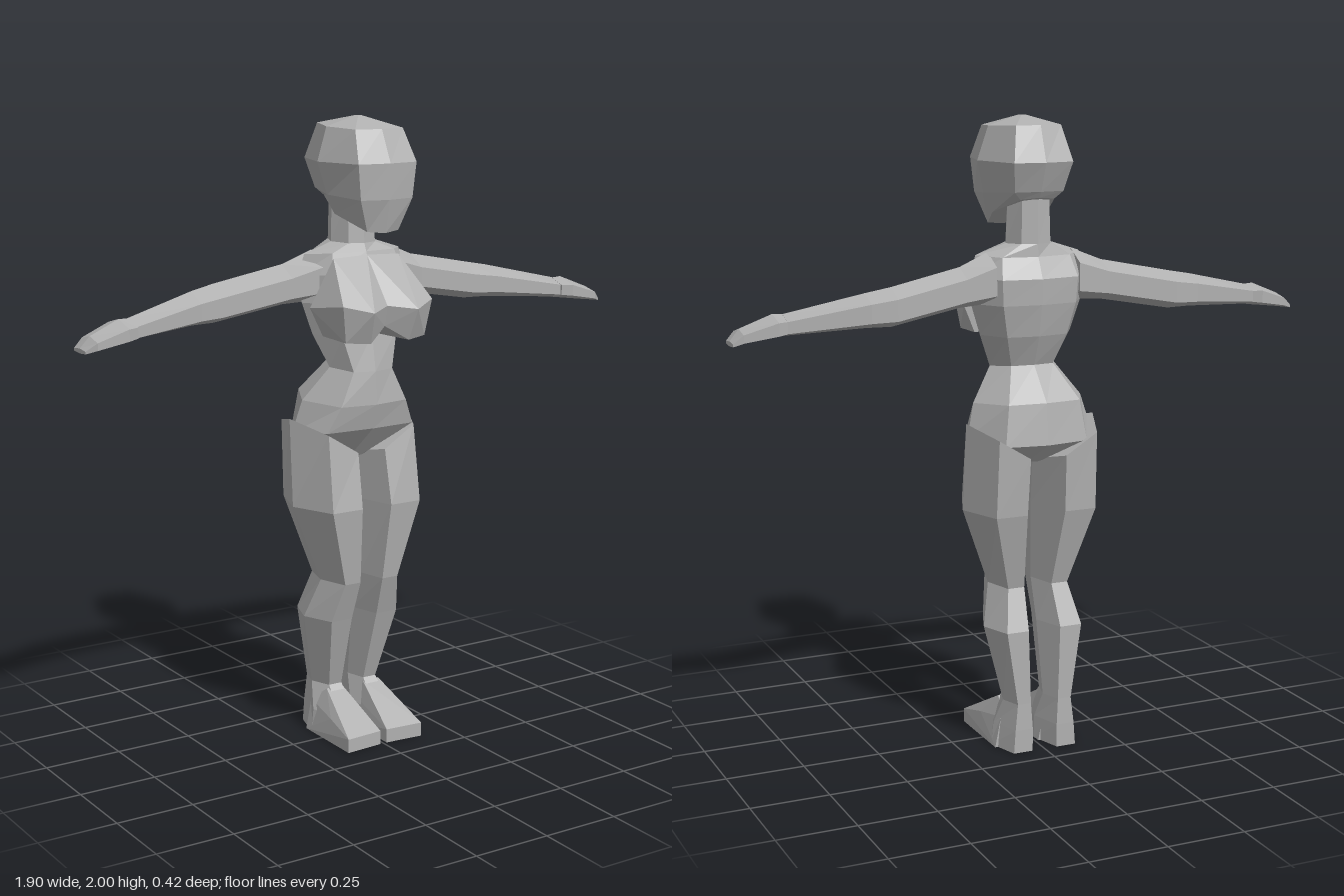
import * as THREE from 'three';
import { ConvexGeometry } from 'three/addons/geometries/ConvexGeometry.js';

// Faceted skin over a list of rings, closed at both ends.
// Rings run counterclockwise when seen from the far end; side -1 mirrors in x.
function loft(rings, side = 1) {
  if (side < 0) rings = rings.map(r => r.map(([x, y, z]) => [-x, y, z]).reverse());
  const pos = [];
  const tri = (...pts) => pts.forEach(p => pos.push(...p));
  const n = rings[0].length;
  for (let k = 0; k + 1 < rings.length; k++) {
    for (let i = 0; i < n; i++) {
      const j = (i + 1) % n;
      const [a, b, c, d] = [rings[k][i], rings[k][j], rings[k + 1][j], rings[k + 1][i]];
      tri(a, b, c);
      tri(a, c, d);
    }
  }
  const first = rings[0], last = rings[rings.length - 1];
  for (let i = 1; i + 1 < n; i++) {
    tri(first[0], first[i + 1], first[i]);
    tri(last[0], last[i], last[i + 1]);
  }
  const geo = new THREE.BufferGeometry();
  geo.setAttribute('position', new THREE.Float32BufferAttribute(pos, 3));
  geo.computeVertexNormals();
  return geo;
}

// Symmetric eight-sided ring; yf and yb let it tilt from front to back
function bodyRing(w, yf, yb, zf, zb, fx = 0.65, bx = 0.65, inset = 0.015) {
  const at = (x, z) => [x, yb + (yf - yb) * (z - zb) / (zf - zb), z];
  const zm = (zf + zb) / 2;
  return [at(0, zf), at(fx * w, zf - inset), at(w, zm), at(bx * w, zb + inset), at(0, zb),
    at(-bx * w, zb + inset), at(-w, zm), at(-fx * w, zf - inset)];
}

// Six-sided leg ring between an inner and outer x
function legRing(inner, outer, yIn, yOut, zf, zb) {
  const at = (t, z) => [inner + (outer - inner) * t, yIn + (yOut - yIn) * t, z];
  const zm = (zf + zb) / 2;
  return [at(0.2, zf), at(0.72, zf), at(1, zm), at(0.75, zb), at(0.25, zb), at(0, zm)];
}

// Six-sided arm ring at one x
function armRing(x, top, bottom, zb, zf) {
  const zm = (zb + zf) / 2, h = top - bottom;
  return [[x, top, zm], [x, top - h * 0.3, zf], [x, bottom + h * 0.2, zf],
    [x, bottom, zm], [x, bottom + h * 0.2, zb], [x, top - h * 0.25, zb]];
}

export function createModel() {
  const model = new THREE.Group();
  const grey = new THREE.MeshStandardMaterial({ color: 0xb0b0b0 });
  grey.name = 'plain grey';
  const add = (name, geometry) => {
    const mesh = new THREE.Mesh(geometry, grey);
    mesh.name = name;
    model.add(mesh);
  };

  // Head, with the jaw lower in front than behind
  add('head', loft([
    bodyRing(0.095, 1.652, 1.756, 0.153, -0.127, 0.6, 0.6),
    bodyRing(0.125, 1.755, 1.775, 0.175, -0.14, 0.75),
    bodyRing(0.15, 1.865, 1.865, 0.18, -0.175, 0.7),
    bodyRing(0.115, 1.965, 1.975, 0.132, -0.135, 0.75),
    bodyRing(0.01, 2, 2, 0.01, -0.01, 0.65, 0.65, 0),
  ]));

  // Pelvis, waist, chest and neck in one skin
  add('torso', loft([
    bodyRing(0.04, 0.93, 0.93, 0.01, -0.11),
    bodyRing(0.212, 1.03, 1.0, 0.085, -0.2, 0.75),
    bodyRing(0.185, 1.11, 1.13, 0.106, -0.183),
    bodyRing(0.11, 1.215, 1.235, 0.1, -0.09),
    bodyRing(0.155, 1.33, 1.33, 0.08, -0.128),
    bodyRing(0.188, 1.43, 1.43, 0.085, -0.148),
    bodyRing(0.195, 1.52, 1.51, 0.07, -0.152),
    bodyRing(0.175, 1.585, 1.575, 0.045, -0.12),
    bodyRing(0.075, 1.61, 1.615, 0.035, -0.117),
    bodyRing(0.07, 1.75, 1.75, 0.026, -0.115),
  ]));

  for (const [side, label] of [[1, 'left'], [-1, 'right']]) {
    const hull = pts => new ConvexGeometry(pts.map(([x, y, z]) => new THREE.Vector3(side * x, y, z)));

    // Bust
    add(label + 'Breast', hull([
      [0, 1.575, 0.05], [0.12, 1.57, 0.045], [0, 1.43, 0.165], [0.08, 1.42, 0.217],
      [0.163, 1.44, 0.17], [0.19, 1.42, 0.02], [0, 1.365, 0.15], [0.07, 1.32, 0.18],
      [0.145, 1.325, 0.155], [0.02, 1.33, 0.05], [0.15, 1.33, 0.03],
    ]));

    // Arm and hand
    add(label + 'Arm', loft([
      armRing(0.14, 1.59, 1.43, -0.125, 0.02),
      armRing(0.24, 1.55, 1.425, -0.13, 0.0),
      armRing(0.47, 1.505, 1.385, -0.15, -0.022),
      armRing(0.55, 1.49, 1.385, -0.14, -0.012),
      armRing(0.79, 1.435, 1.37, -0.078, 0.03),
    ], side));
    add(label + 'Hand', loft([
      armRing(0.785, 1.435, 1.37, -0.075, 0.035),
      armRing(0.82, 1.437, 1.365, -0.09, 0.05),
      armRing(0.92, 1.397, 1.352, -0.062, 0.045),
      armRing(0.95, 1.363, 1.348, -0.052, 0.025),
    ], side));

    // Leg from heel to hip
    add(label + 'Leg', loft([
      legRing(0.01, 0.14, 0, 0, 0.04, -0.175),
      legRing(0.012, 0.132, 0.075, 0.075, 0.04, -0.175),
      legRing(0.025, 0.115, 0.16, 0.16, -0.037, -0.172),
      legRing(0.018, 0.165, 0.4, 0.4, 0.035, -0.172),
      legRing(0.02, 0.13, 0.53, 0.53, 0.078, -0.12),
      legRing(0.012, 0.222, 0.78, 0.78, 0.11, -0.185),
      legRing(0.008, 0.218, 0.93, 1.06, 0.078, -0.2),
    ], side));

    // Front of the foot
    add(label + 'Foot', hull([
      [0.012, 0, -0.1], [0.14, 0, -0.1], [0.012, 0, 0.15], [0.14, 0, 0.16],
      [0.012, 0.045, 0.15], [0.14, 0.045, 0.16], [0.03, 0.075, 0.04],
      [0.132, 0.075, 0.04], [0.04, 0.15, -0.035], [0.1, 0.15, -0.035], [0.03, 0.1, -0.1], [0.12, 0.1, -0.1],
    ]));
  }
  return model;
}
